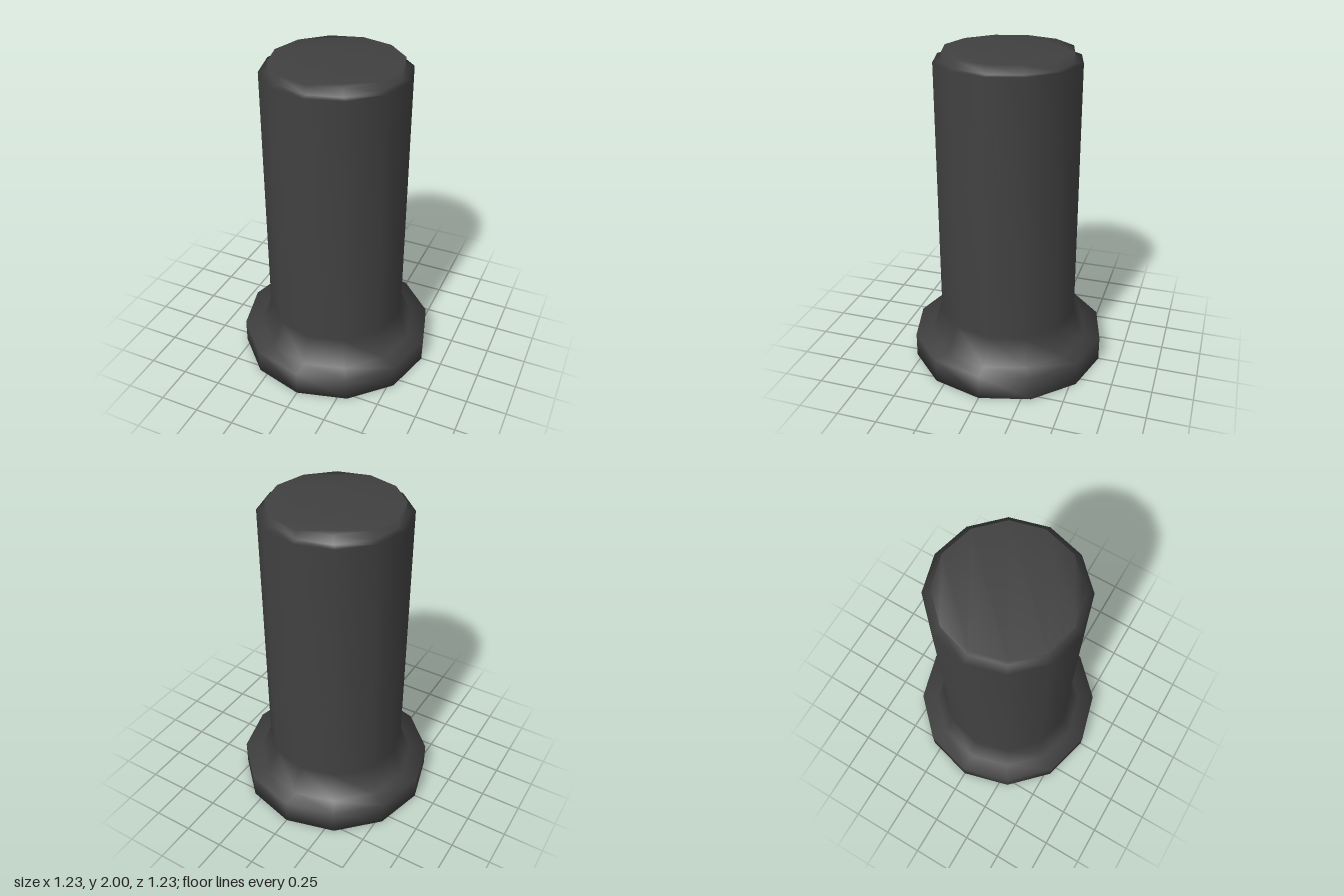
import * as THREE from 'three';

const SIDES = 12;

// Outline from the foot upwards: [radius, height]
const PROFILE = [
  [0.617, 0], [0.617, 0.155],   // foot flange
  [0.51, 0.155], [0.44, 0.325], // flared collar
  [0.44, 1.945],                // shaft
  [0.39, 1.945], [0.39, 2],     // raised top lip
];

// Rings share their corners, so the normals flow smoothly over every edge
function createBody() {
  const positions = [];
  const index = [];
  for (const [r, y] of PROFILE) {
    for (let k = 0; k < SIDES; k++) {
      const a = (k / SIDES) * Math.PI * 2;
      positions.push(r * Math.cos(a), y, r * Math.sin(a));
    }
  }
  const at = (ring, k) => ring * SIDES + ((k + SIDES) % SIDES);

  // Walls between neighbouring rings
  for (let i = 0; i < PROFILE.length - 1; i++) {
    for (let k = 0; k < SIDES; k++) {
      index.push(at(i, k), at(i + 1, k), at(i + 1, k + 1));
      index.push(at(i, k), at(i + 1, k + 1), at(i, k + 1));
    }
  }

  // Flat caps, filled with parallel strips across the polygon
  const cap = (ring, start, up) => {
    for (let s = 0; s < SIDES / 2 - 1; s++) {
      const a = at(ring, start - s), b = at(ring, start + 1 + s);
      const c = at(ring, start + 2 + s), d = at(ring, start - s - 1);
      if (up) index.push(a, d, c, a, c, b);
      else index.push(a, c, d, a, b, c);
    }
  };
  cap(0, 10, false);
  cap(PROFILE.length - 1, 1, true);

  const geometry = new THREE.BufferGeometry();
  geometry.setAttribute('position', new THREE.Float32BufferAttribute(positions, 3));
  geometry.setIndex(index);
  geometry.computeVertexNormals();
  return geometry;
}

export function createModel() {
  const group = new THREE.Group();
  group.name = 'flangedPost';
  const material = new THREE.MeshStandardMaterial({ color: 0x404040 });
  const body = new THREE.Mesh(createBody(), material);
  body.name = 'postBody';
  group.add(body);
  return group;
}
